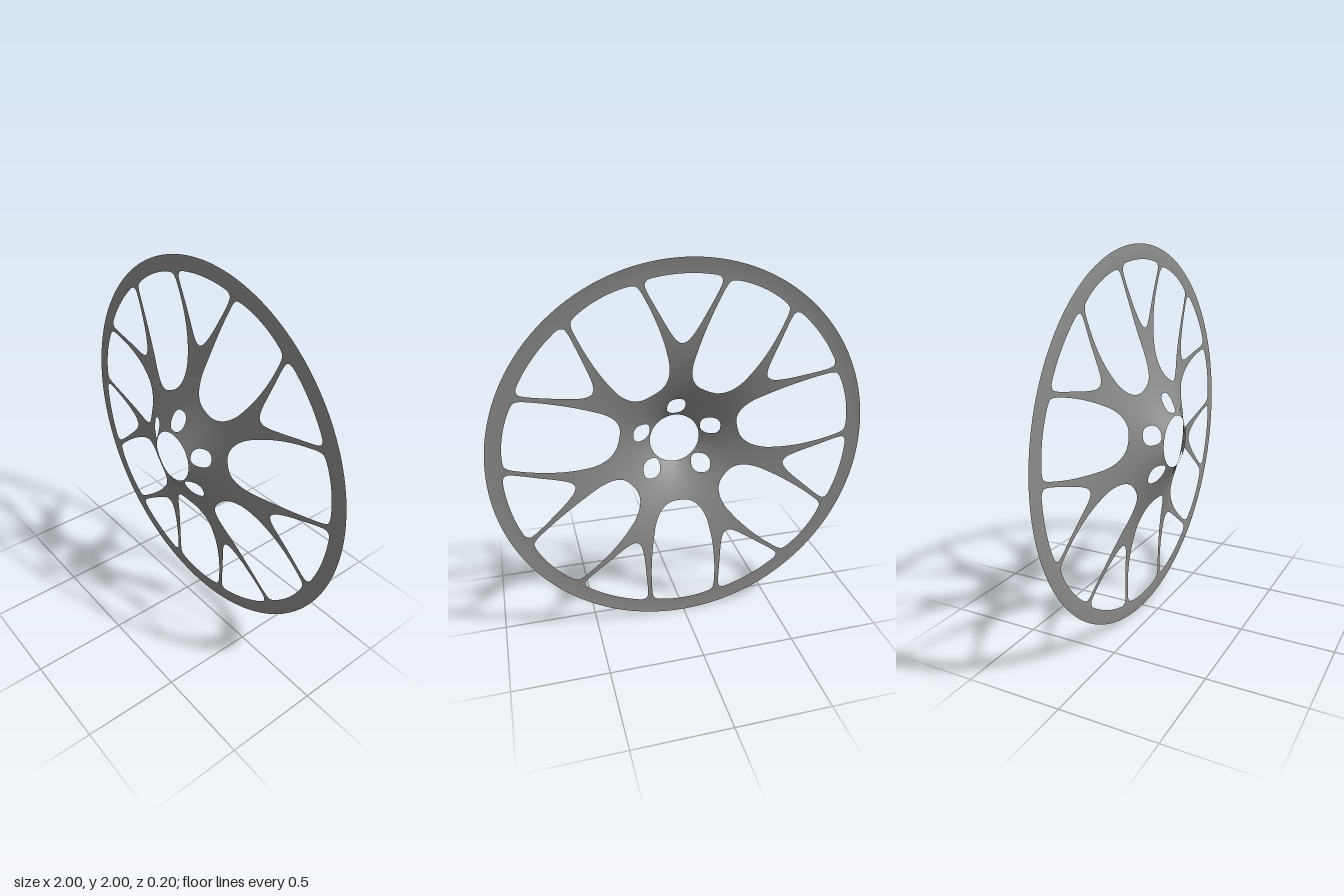
import * as THREE from 'three';

const BORE = 0.137, RIM = 0.95, POWER = 2.75, ARMS = 7, MAX_EDGE = 0.05;

// Dish profile: depth and slope at a radius, with the rim rolling back to its edge
const dish = (r) => {
  const t = Math.max(0, (RIM - r) / (RIM - BORE));
  const e = Math.max(0, (r - 0.92) / 0.08);
  return {
    z: -0.094 + 0.194 * t ** POWER - 0.006 * e * e,
    slope: (-0.194 * POWER * t ** (POWER - 1)) / (RIM - BORE) - (0.012 * e) / 0.08,
  };
};

// Half outlines of the windows: [sideways, outward], first and last on the axis
const WIDE = [[0, 0.33], [0.06, 0.338], [0.105, 0.37], [0.14, 0.43], [0.16, 0.51], [0.174, 0.6],
  [0.182, 0.7], [0.183, 0.8], [0.178, 0.87], [0.168, 0.892], [0.14, 0.905], [0.07, 0.918], [0, 0.922]];
const NARROW = [[0, 0.584], [0.022, 0.592], [0.05, 0.622], [0.123, 0.745], [0.185, 0.863],
  [0.189, 0.885], [0.175, 0.903], [0.123, 0.915], [0.06, 0.922], [0, 0.924]];

// Lug hole angles in degrees, clockwise from the top
const LUGS = [0, 69.5, 137, -137, -69.5];

// Mirror a half outline and turn it to an angle around the hub
function windowHole(half, angle) {
  const mirrored = half.slice(1, -1).reverse().map(([u, v]) => [-u, v]);
  const c = Math.cos(angle), s = Math.sin(angle);
  const points = [...half, ...mirrored].map(([u, v]) =>
    new THREE.Vector3(v * c - u * s, v * s + u * c, 0));
  const curve = new THREE.CatmullRomCurve3(points, true);
  return new THREE.Path(curve.getPoints(110).slice(0, -1).map((p) => new THREE.Vector2(p.x, p.y)));
}

// Closed ring of points; a power below 1 makes it slightly squarish
function roundHole(x, y, r, n, power = 1) {
  const bulge = (v) => Math.sign(v) * Math.abs(v) ** power;
  const pts = [];
  for (let i = 0; i < n; i++) {
    const a = (i / n) * Math.PI * 2;
    pts.push(new THREE.Vector2(x + r * bulge(Math.cos(a)), y + r * bulge(Math.sin(a))));
  }
  return new THREE.Path(pts);
}

// Halve the longest edges until the flat sheet is fine enough to bend
function refine(geometry) {
  const src = geometry.toNonIndexed().attributes.position;
  const stack = [], out = [];
  for (let i = 0; i < src.count; i += 3) {
    stack.push([0, 1, 2].map((k) => new THREE.Vector2(src.getX(i + k), src.getY(i + k))));
  }
  while (stack.length) {
    const t = stack.pop();
    const d = [0, 1, 2].map((k) => t[k].distanceTo(t[(k + 1) % 3]));
    const k = d.indexOf(Math.max(...d));
    if (d[k] <= MAX_EDGE) {
      out.push(...t);
      continue;
    }
    const a = t[k], b = t[(k + 1) % 3], c = t[(k + 2) % 3];
    const m = a.clone().add(b).multiplyScalar(0.5);
    stack.push([a, m, c], [m, b, c]);
  }
  return out;
}

// Bend the sheet to the dish profile with smooth normals
function bend(points) {
  const pos = [], nor = [];
  for (const p of points) {
    const r = p.length(), { z, slope } = dish(r);
    const n = new THREE.Vector3((-slope * p.x) / r, (-slope * p.y) / r, 1).normalize();
    pos.push(p.x, p.y, z);
    nor.push(n.x, n.y, n.z);
  }
  const g = new THREE.BufferGeometry();
  g.setAttribute('position', new THREE.Float32BufferAttribute(pos, 3));
  g.setAttribute('normal', new THREE.Float32BufferAttribute(nor, 3));
  return g;
}

export function createModel() {
  const group = new THREE.Group();
  group.name = 'wheelFace';
  const metal = new THREE.MeshStandardMaterial({ color: 0x8a8c8a, side: THREE.DoubleSide });
  metal.name = 'grey metal';

  // Hub and forked spokes, cut from one dished sheet
  const sheet = new THREE.Shape(roundHole(0, 0, RIM, 140).getPoints());
  sheet.holes.push(roundHole(0, 0, BORE, 48));
  for (const degrees of LUGS) {
    const a = THREE.MathUtils.degToRad(degrees);
    sheet.holes.push(roundHole(0.202 * Math.sin(a), 0.202 * Math.cos(a), 0.05, 32, 0.85));
  }
  for (let i = 0; i < ARMS; i++) {
    const turn = (i / ARMS) * Math.PI * 2;
    sheet.holes.push(windowHole(WIDE, turn - Math.PI / 2));
    sheet.holes.push(windowHole(NARROW, turn + Math.PI / 2));
  }
  const spokes = new THREE.Mesh(bend(refine(new THREE.ShapeGeometry(sheet))), metal);
  spokes.name = 'hubAndSpokes';

  // Outer rim, rolled slightly back
  const rim = new THREE.Mesh(bend(refine(new THREE.RingGeometry(RIM, 1, 140, 3))), metal);
  rim.name = 'rim';

  group.add(spokes, rim);
  for (const part of group.children) part.position.y = 1;
  return group;
}
